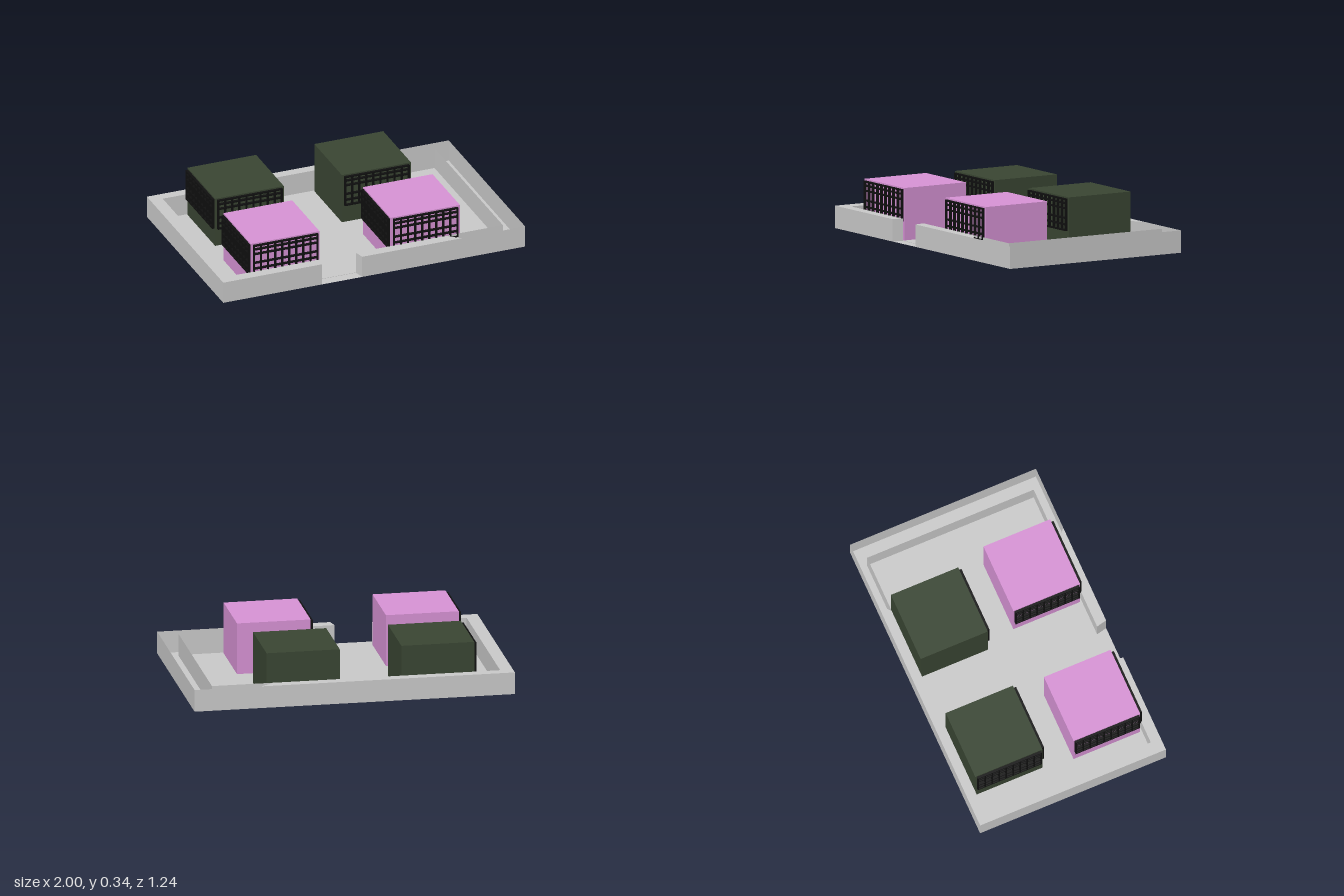
import * as THREE from 'three';

const grey = new THREE.MeshStandardMaterial({ color: 0xcccccc, side: THREE.DoubleSide });
const pink = new THREE.MeshStandardMaterial({ color: 0xd994d7 });
const green = new THREE.MeshStandardMaterial({ color: 0x3a4633 });
const black = new THREE.MeshStandardMaterial({ color: 0x101010 });

const BASE = 0.008, RIM = 0.147, ROOF = 0.335;

function add(parent, name, geometry, material) {
  const mesh = new THREE.Mesh(geometry, material);
  mesh.name = name;
  parent.add(mesh);
  return mesh;
}

// Box given by its lower and upper corners
function block(parent, name, [x0, y0, z0], [x1, y1, z1], material) {
  add(parent, name, new THREE.BoxGeometry(x1 - x0, y1 - y0, z1 - z0), material)
    .position.set((x0 + x1) / 2, (y0 + y1) / 2, (z0 + z1) / 2);
}

// Vertical band following a closed loop of [x, z] points
function band(points, y0, y1) {
  const v = [];
  points.forEach(([ax, az], i) => {
    const [bx, bz] = points[(i + 1) % points.length];
    v.push(ax, y0, az, bx, y0, bz, bx, y1, bz, ax, y0, az, bx, y1, bz, ax, y1, az);
  });
  const g = new THREE.BufferGeometry();
  g.setAttribute('position', new THREE.Float32BufferAttribute(v, 3));
  g.computeVertexNormals();
  return g;
}

// Flat horizontal face with an outline of [x, z] points
function flat(points, y) {
  const shape = new THREE.Shape(points.map(([x, z]) => new THREE.Vector2(x, -z)));
  return new THREE.ShapeGeometry(shape).rotateX(-Math.PI / 2).translate(0, y, 0);
}

// Lattice of bars in the xy plane, standing out along +z
function lattice(width) {
  const g = new THREE.Group();
  const bar = 0.009, depth = 0.016, low = 0.125, high = 0.326, count = 10;
  for (let i = 0; i < count; i++) {
    const x = -width / 2 + (i * (width - bar)) / (count - 1);
    block(g, 'uprightBar', [x, low, 0], [x + bar, high, depth], black);
  }
  for (const y of [0.125, 0.16, 0.2, 0.26, 0.292, 0.317]) {
    block(g, 'crossBar', [-width / 2, y, 0], [width / 2, y + bar, depth], black);
  }
  return g;
}

// House block with a lattice on the front and, optionally, on the -x side
function house(name, x0, x1, z0, z1, material, sideLattice) {
  const g = new THREE.Group();
  g.name = name;
  block(g, 'body', [x0, BASE, z0], [x1, ROOF, z1], material);
  const front = lattice(0.43);
  front.name = 'frontLattice';
  front.position.set((x0 + x1) / 2, 0, z1);
  g.add(front);
  if (sideLattice) {
    const side = lattice(0.43);
    side.name = 'sideLattice';
    side.rotation.y = -Math.PI / 2;
    side.position.set(x0, 0, (z0 + z1) / 2);
    g.add(side);
  }
  return g;
}

export function createModel() {
  const model = new THREE.Group();
  model.name = 'walledCourtyard';

  // Ground plate and shallow footing below it
  add(model, 'groundPlate', flat([[-1, 0.622], [1, 0.622], [1, -0.622], [-1, -0.622]], BASE), grey);
  block(model, 'footing', [-0.92, 0, -0.558], [0.88, BASE + 0.002, 0.555], grey);

  // Hollow perimeter wall with a gateway at the front
  add(model, 'perimeterWall', band([
    [-0.08, 0.622], [1, 0.622], [1, -0.622], [-1, -0.622], [-1, 0.622], [-0.345, 0.622],
    [-0.33, 0.555], [-0.92, 0.555], [-0.92, -0.56], [0.88, -0.56], [0.88, 0.555], [-0.095, 0.555],
  ], BASE, RIM), grey);

  // Wall tops, which stop short of the +x end
  add(model, 'wallTopLeft', flat([
    [-0.345, 0.622], [-1, 0.622], [-1, -0.622], [0.58, -0.622],
    [0.5, -0.56], [-0.92, -0.56], [-0.92, 0.555], [-0.33, 0.555],
  ], RIM), grey);
  add(model, 'wallTopFront', flat([
    [-0.08, 0.622], [0.58, 0.622], [0.5, 0.555], [-0.095, 0.555],
  ], RIM), grey);

  // Four houses
  model.add(
    house('frontRightHouse', -0.785, -0.33, 0.097, 0.543, pink, true),
    house('frontLeftHouse', 0.14, 0.6, 0.097, 0.543, pink, true),
    house('backRightHouse', -0.76, -0.305, -0.55, -0.1, green, true),
    house('backLeftHouse', 0.08, 0.537, -0.55, -0.1, green, false),
  );
  return model;
}
